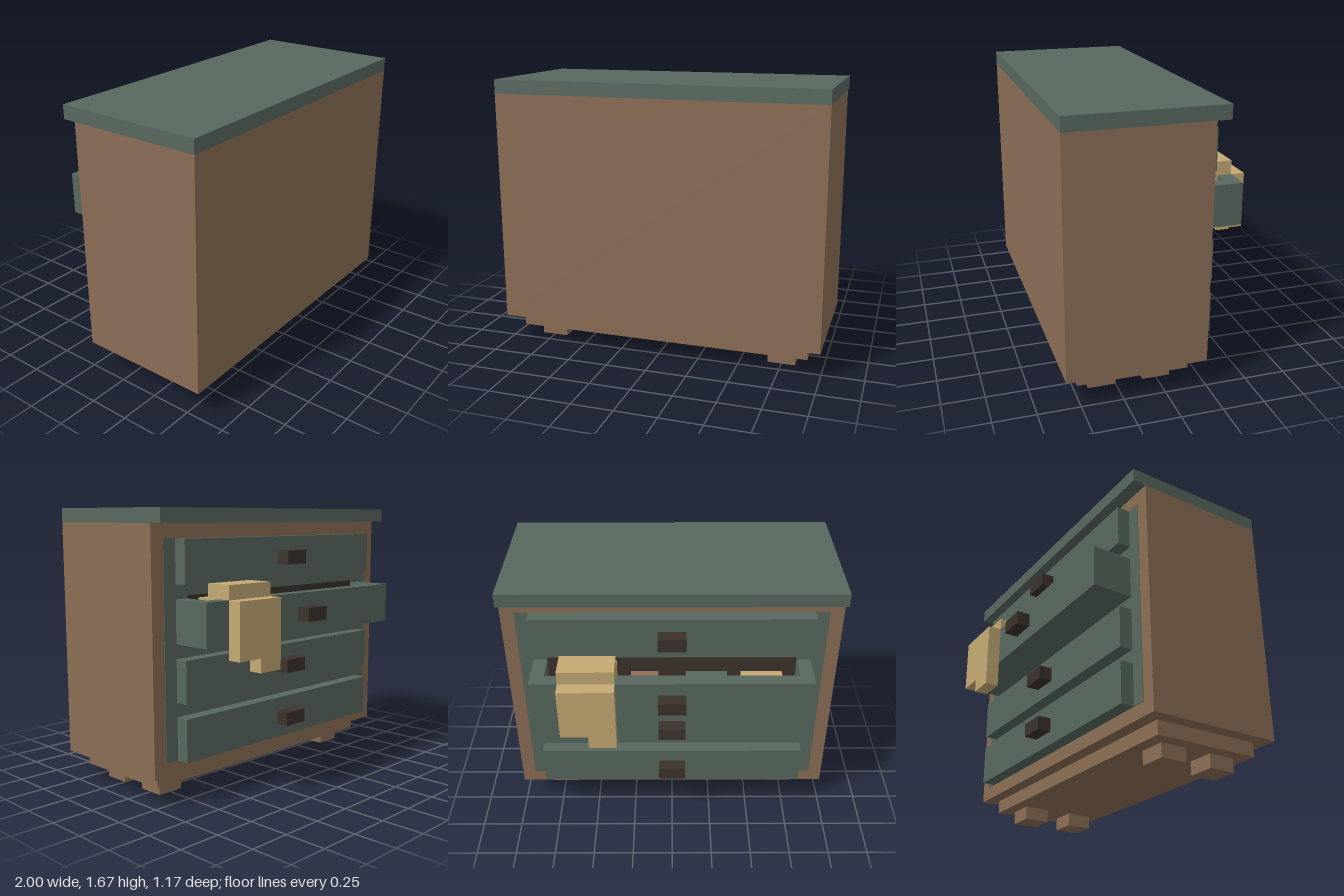
import * as THREE from 'three';

const U = 1 / 12; // building grid step

export function createModel() {
  const model = new THREE.Group();
  model.name = 'chestOfDrawers';

  const mat = (name, color) => {
    const m = new THREE.MeshStandardMaterial({ color });
    m.name = name;
    return m;
  };
  const wood = mat('brownWood', 0x8c6e56);
  const green = mat('greenPaint', 0x58685e);
  const dark = mat('darkIron', 0x3b322c);
  const cloth = mat('tanCloth', 0xc4a973);

  // Box between two corners, given in grid steps
  const box = (name, material, x0, x1, y0, y1, z0, z1, parent = model) => {
    const mesh = new THREE.Mesh(
      new THREE.BoxGeometry((x1 - x0) * U, (y1 - y0) * U, (z1 - z0) * U), material);
    mesh.position.set((x0 + x1) / 2 * U, (y0 + y1) / 2 * U, (z0 + z1) / 2 * U);
    mesh.name = name;
    parent.add(mesh);
    return mesh;
  };
  const group = (name) => {
    const g = new THREE.Group();
    g.name = name;
    model.add(g);
    return g;
  };

  // Cabinet, plinth, feet and overhanging top
  box('cabinet', wood, -12, 12, 2, 19, -3, 7);
  box('plinth', wood, -11, 11, 1, 2, -2, 6);
  for (const x of [-10, 8]) {
    for (const z of [-1, 3]) box('foot', wood, x, x + 2, 0, 1, z, z + 2);
  }
  box('tableTop', green, -12, 12, 19, 20, -4, 7);

  // Painted panel behind the drawers
  box('drawerPanel', green, -11, 11, 3, 18, -3.04, -2.9);

  // Closed drawers
  for (const y of [3, 7, 15]) {
    const drawer = group('closedDrawer');
    box('drawerFront', green, -10, 10, y, y + 3, -4, -3, drawer);
    box('handle', dark, -1, 1, y + 1, y + 2, -5, -4, drawer);
  }

  // Pulled-out drawer with an open top
  const open = group('openDrawer');
  box('drawerFloor', green, -9, 9, 11, 12, -5, -3, open);
  box('drawerFront', green, -10, 10, 11, 14, -6, -5, open);
  for (const x of [-10, 9]) box('drawerSide', green, x, x + 1, 11, 14, -5, -3, open);
  box('drawerShadowGap', dark, -9, 9, 12, 14.2, -3.09, -3, open);
  box('handle', dark, -1, 1, 12, 13, -7, -6, open);

  // Folded clothes in the drawer
  const clothes = group('foldedClothes');
  box('tanFold', cloth, -8, -5, 12, 13, -5, -3.05, clothes);
  box('greenFold', green, -4, -1, 12, 13, -5, -3.05, clothes);
  box('brownFold', wood, 1, 3, 12, 13, -5, -3.05, clothes);

  // Garment draped over the drawer front
  const garment = group('drapedGarment');
  box('garmentInside', cloth, 4, 8, 12, 14, -5, -3, garment);
  box('garmentFold', cloth, 4, 8, 14, 15, -6, -4, garment);
  box('garmentFront', cloth, 4, 8, 10, 14, -7, -6, garment);
  box('garmentCorner', cloth, 4, 6, 9, 10, -7, -6, garment);

  return model;
}
